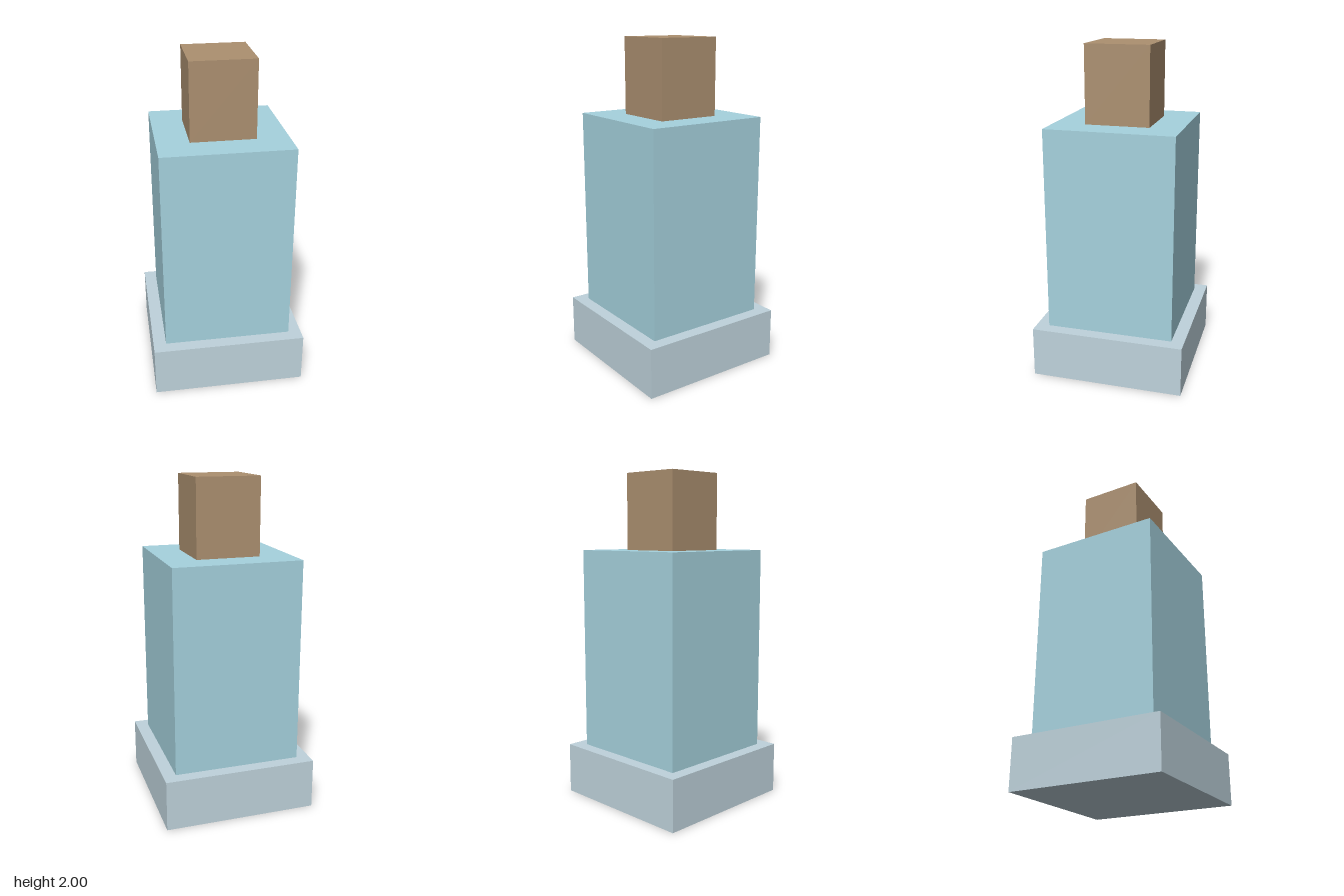
import * as THREE from 'three';

const UNIT = 2 / 13; // the tower is 13 units tall

export function createModel() {
  const model = new THREE.Group();
  model.name = 'steppedTower';

  // Square blocks stacked from the ground up, sizes in units
  const blocks = [
    { name: 'base', width: 6, height: 2, color: 0xbfd3dc },
    { name: 'body', width: 5, height: 8, color: 0xa6d2de },
    { name: 'topBlock', width: 2.5, height: 3, color: 0xac9070 },
  ];

  let bottom = 0;
  for (const { name, width, height, color } of blocks) {
    const w = width * UNIT;
    const h = height * UNIT;
    const block = new THREE.Mesh(
      new THREE.BoxGeometry(w, h, w),
      new THREE.MeshStandardMaterial({ color })
    );
    block.name = name;
    block.position.y = bottom + h / 2;
    model.add(block);
    bottom += h;
  }

  return model;
}
